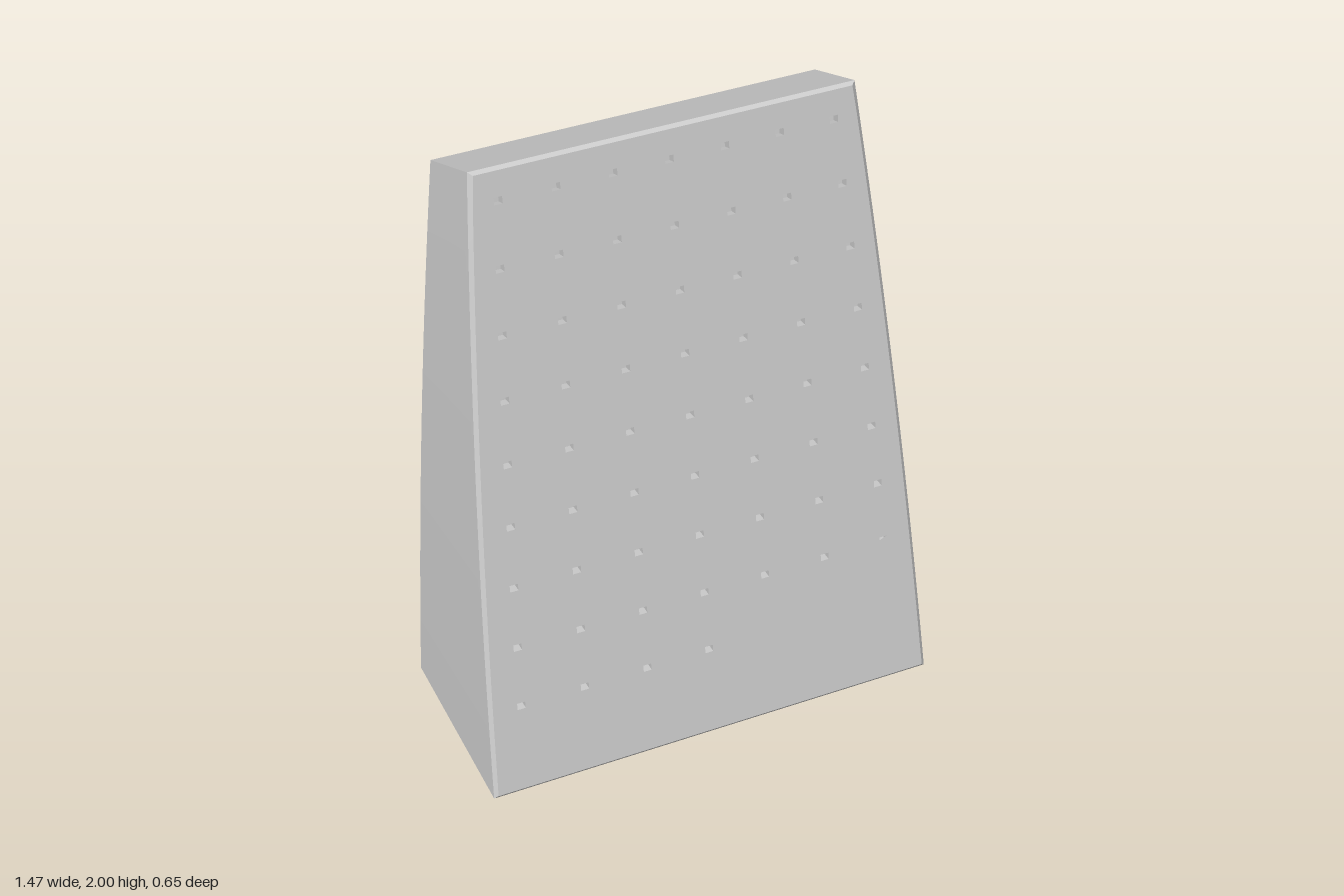
import * as THREE from 'three';
import { toCreasedNormals } from 'three/addons/utils/BufferGeometryUtils.js';

const HEIGHT = 2, BACK = -0.325, PANEL = 0.03, CHAMFER = 0.012;

// half width of the bowed sides, and z of the leaning front, at height y
const halfWidth = (y) => 0.735 - 0.0435 * y - 0.0145 * y * y;
const frontZ = (y) => 0.325 - 0.185 * y;

// front outline with gently curved sides
function outline() {
  const right = [], left = [];
  const rows = 20;
  for (let i = 0; i <= rows; i++) {
    const y = (HEIGHT * i) / rows;
    right.push(new THREE.Vector2(halfWidth(y), y));
    left.unshift(new THREE.Vector2(-halfWidth(y), y));
  }
  return new THREE.Shape([...right, ...left]);
}

function rectHole(x, y, w, h) {
  const p = (sx, sy) => new THREE.Vector2(x + (sx * w) / 2, y + (sy * h) / 2);
  return new THREE.Path([p(-1, -1), p(-1, 1), p(1, 1), p(1, -1)]);
}

// Extrude a shape, then lean it: depths run from d0 behind the front to d1(y),
// and the top slopes down towards the back.
function leaningSolid(shape, steps, d0, d1, chamfer) {
  const geo = new THREE.ExtrudeGeometry(shape, { depth: 1, steps, bevelEnabled: false });
  const pos = geo.attributes.position;
  for (let i = 0; i < pos.count; i++) {
    let x = pos.getX(i), y = pos.getY(i);
    const s = 1 - pos.getZ(i);
    if (chamfer && s < 1e-4) {
      if (Math.abs(x) > halfWidth(y) - 1e-4) x -= Math.sign(x) * chamfer;
      if (y < 1e-4) y += chamfer;
      else if (y > HEIGHT - 1e-4) y -= chamfer;
    }
    const d = d0 + s * (d1(y) - d0);
    const t = d / (frontZ(y) - BACK);
    const newY = y * (1 - 0.06 * t);
    pos.setXYZ(i, (x * halfWidth(newY)) / halfWidth(y), newY, frontZ(y) - d);
  }
  geo.deleteAttribute('normal');
  return toCreasedNormals(geo, 0.4);
}

export function createModel() {
  const group = new THREE.Group();
  const material = new THREE.MeshStandardMaterial({ color: 0xcccccc });
  const add = (name, geometry) => {
    const mesh = new THREE.Mesh(geometry, material);
    mesh.name = name;
    group.add(mesh);
  };

  // perforated front panel: 10 rows of 7 holes that follow the taper
  const face = outline();
  for (let row = 0; row < 10; row++) {
    const y = 0.1 + row * 0.2;
    for (let col = -3; col <= 3; col++) {
      face.holes.push(rectHole((halfWidth(y) * col * 2) / 7, y, 0.026, 0.022));
    }
  }
  add('frontPanel', leaningSolid(face, 3, 0, () => PANEL, CHAMFER));

  // solid wedge behind the panel
  add('body', leaningSolid(outline(), 1, PANEL, (y) => frontZ(y) - BACK, 0));

  return group;
}
